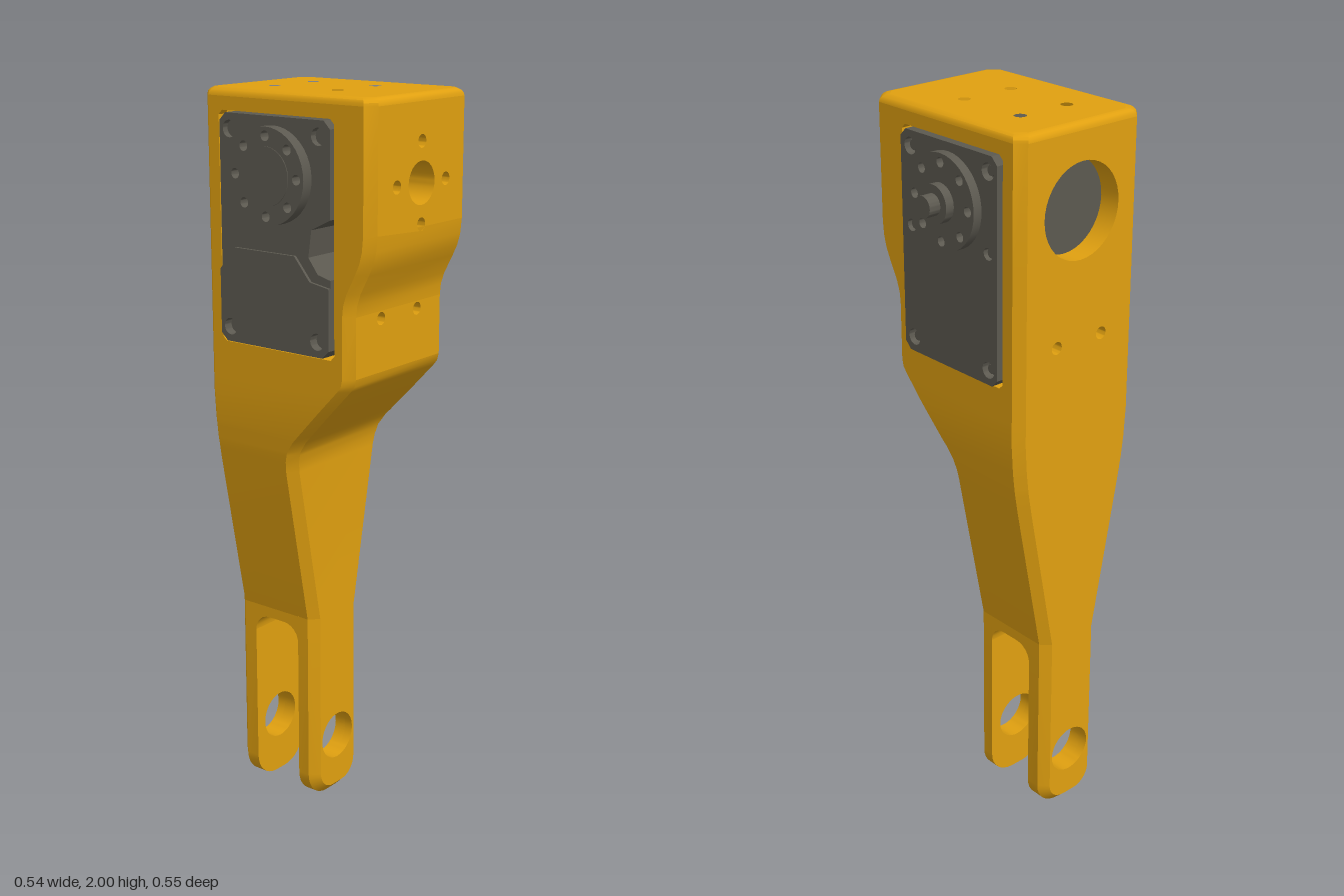
import * as THREE from 'three';
import { toCreasedNormals, mergeGeometries } from 'three/addons/utils/BufferGeometryUtils.js';

const yellow = new THREE.MeshStandardMaterial({ color: 0xe0a010 });
const dark = new THREE.MeshStandardMaterial({ color: 0x5c5950 });
const C = 0.025, BACK = -0.275, TOP = 1.98, R = 0.02;

// piecewise-linear profiles over height: half width and front depth
const WIDTH = [[0.56, 0.1], [1.0, 0.183], [1.06, 0.193], [1.12, 0.2], [1.2, 0.205], [2, 0.205]];
const FRONT = [[0.56, 0.005], [1.01, 0.005], [1.04, 0.008], [1.07, 0.017], [1.1, 0.038], [1.265, 0.193],
  [1.28, 0.205], [1.3, 0.21], [1.46, 0.21], [1.49, 0.213], [1.52, 0.223], [1.57, 0.249], [1.6, 0.263],
  [1.63, 0.271], [1.67, 0.275], [2, 0.275]];
function at(table, y) {
  const i = Math.max(1, table.findIndex(p => p[0] >= y));
  const [a, b] = [table[i - 1], table[i]];
  return a[1] + (b[1] - a[1]) * (y - a[0]) / (b[0] - a[0]);
}

// chamfered rectangle cross-section as [x, z] pairs
function ring(y, inset = 0) {
  const w = at(WIDTH, y) - inset, f = at(FRONT, y) - inset, b = BACK + inset;
  return [[-w + C, f], [w - C, f], [w, f - C], [w, b + C], [w - C, b], [-w + C, b], [-w, b + C], [-w, f - C]];
}

// skin between rows of points, leaving out the strips that skip() names
function loft(rows, closed, skip = () => false) {
  const pos = [];
  for (let r = 0; r + 1 < rows.length; r++) {
    const n = rows[r].length;
    for (let i = 0; i < (closed ? n : n - 1); i++) {
      if (skip(i, (rows[r][i][1] + rows[r + 1][i][1]) / 2)) continue;
      const j = (i + 1) % n, a = rows[r][i], b = rows[r][j], c = rows[r + 1][j], d = rows[r + 1][i];
      pos.push(...a, ...b, ...c, ...a, ...c, ...d);
    }
  }
  return new THREE.BufferGeometry().setAttribute('position', new THREE.Float32BufferAttribute(pos, 3));
}

// plate from d0 to d1 along an axis; outlines are (x,y), (-z,y) or (x,-z); holes are [u, v, radius]
function plate(points, d0, d1, axis = 'z', holes = [], rects = []) {
  const shape = new THREE.Shape(points.map(p => new THREE.Vector2(...p)));
  for (const [u, v, r] of holes) shape.holes.push(new THREE.Path().absarc(u, v, r, 0, Math.PI * 2, true));
  for (const r of rects) shape.holes.push(new THREE.Path(r.map(p => new THREE.Vector2(...p))));
  const g = new THREE.ExtrudeGeometry(shape, { depth: d1 - d0, bevelEnabled: false, curveSegments: 20 });
  g.translate(0, 0, d0);
  if (axis === 'x') g.rotateY(Math.PI / 2);
  if (axis === 'y') g.rotateX(-Math.PI / 2);
  g.deleteAttribute('uv');
  g.deleteAttribute('normal');
  return g;
}
const rect = (u0, v0, u1, v1, c = 0) => c
  ? [[u0 + c, v0], [u1 - c, v0], [u1, v0 + c], [u1, v1 - c], [u1 - c, v1], [u0 + c, v1], [u0, v1 - c], [u0, v0 + c]]
  : [[u0, v0], [u1, v0], [u1, v1], [u0, v1]];

function add(parent, name, geos, material) {
  const g = mergeGeometries(geos.map(q => {
    const n = q.index ? q.toNonIndexed() : q;
    n.deleteAttribute('uv');
    n.deleteAttribute('normal');
    return n;
  }));
  const mesh = new THREE.Mesh(toCreasedNormals(g, 0.45), material);
  mesh.name = name;
  parent.add(mesh);
  return mesh;
}

function buildHousing(group) {
  // outer skin
  const ys = [...new Set([...WIDTH, ...FRONT].map(p => p[0]).concat(TOP))].filter(y => y <= TOP).sort((a, b) => a - b);
  const rows = ys.map(y => ring(y).map(([x, z]) => [x, y, z]));
  for (let k = 1; k <= 4; k++) {
    const t = k / 4 * Math.PI / 2, y = TOP + R * Math.sin(t);
    rows.push(ring(TOP, R * (1 - Math.cos(t))).map(([x, z]) => [x, y, z]));
  }
  const skip = (i, y) => y > 1.3 && y < TOP &&
    ((i === 0 && (y < 1.46 || y > 1.67)) || i === 2 || i === 4 || i === 6);
  add(group, 'housingSkin', [loft(rows, true, skip)], yellow);

  // front, back and top panels with their bores
  const pins = [[0.077, 1.44, 0.017], [-0.077, 1.44, 0.017]];
  const bores = [[0, 1.78, 0.055]];
  for (let k = 0; k < 4; k++) {
    const a = k * Math.PI / 2;
    bores.push([0.103 * Math.cos(a), 1.78 + 0.103 * Math.sin(a), 0.017]);
  }
  add(group, 'frontPanel', [
    plate(rect(-0.18, 1.67, 0.18, TOP), 0.16, 0.275, 'z', bores),
    plate(rect(-0.18, 1.46, 0.18, 1.67), 0.16, 0.2),
    plate(rect(-0.18, 1.3, 0.18, 1.46), 0.16, 0.21, 'z', pins)], yellow);
  add(group, 'backPanel', [plate(rect(-0.18, 1.3, 0.18, TOP), BACK, -0.215, 'z', [[0, 1.78, 0.125], ...pins])], yellow);
  const topHoles = [];
  for (const x of [-0.077, 0.077]) for (const z of [-0.135, 0.07]) topHoles.push([x, -z, 0.016]);
  add(group, 'topPanel', [plate(ring(TOP, R).map(([x, z]) => [x, -z]).reverse(), 1.945, 2, 'y', topHoles)], yellow);
  add(group, 'pocketFloor', [plate(rect(-0.18, -0.17, 0.18, 0.22), 1.3, 1.345, 'y')], yellow);

  // side walls with the motor opening
  const side = ys.filter(y => y >= 1.3).map(y => [-(at(FRONT, y) - C), y]).reverse();
  side.push([-BACK - C, 1.3], [-BACK - C, TOP]);
  const opening = rect(-0.16, 1.345, 0.215, 1.945, 0.012);
  add(group, 'sideWalls', [plate(side, 0.18, 0.205, 'x', [], [opening]),
    plate(side, -0.205, -0.18, 'x', [], [opening])], yellow);
}

function buildFork(group) {
  // prong outline with rounded lower corners
  const outline = inset => {
    const h = 0.1 - inset, r = 0.08, pts = [[-h, 0.56]];
    for (const [cx, a0] of [[-0.02, Math.PI], [0.02, Math.PI * 1.5]])
      for (let k = 0; k <= 8; k++) {
        const a = a0 + k / 8 * Math.PI / 2;
        pts.push([cx + (r - inset) * Math.cos(a), r + (r - inset) * Math.sin(a)]);
      }
    return [...pts, [h, 0.56]];
  };
  const hole = [[0, 0.175, 0.068]];
  const prong = (name, t) => add(group, name, [
    plate(outline(0), 0, t - C, 'z', hole),
    plate(outline(C), 0.015, t, 'z', hole),
    loft([outline(0).map(p => [...p, t - C]), outline(C).map(p => [...p, t])], false)], yellow);
  prong('frontProng', 0.06).position.z = -0.055;
  const back = prong('backProng', 0.065);
  back.rotation.y = Math.PI;
  back.position.z = -0.21;

  // filleted top of the slot
  const arch = [[0.21, 0.56], [0.055, 0.56], [0.055, 0.48]];
  for (let k = 0; k <= 6; k++) arch.push([0.105 - 0.05 * Math.cos(k * Math.PI / 12), 0.48 + 0.05 * Math.sin(k * Math.PI / 12)]);
  for (let k = 6; k >= 0; k--) arch.push([0.16 + 0.05 * Math.cos(k * Math.PI / 12), 0.48 + 0.05 * Math.sin(k * Math.PI / 12)]);
  add(group, 'slotTop', [plate(arch, -0.1, 0.1, 'x')], yellow);
}

function buildMotor(group) {
  const CY = 1.795, CU = 0.031;
  const disc = (r, d0, d1, holes = []) => {
    const pts = Array.from({ length: 40 }, (_, k) => [CU + r * Math.cos(k * Math.PI / 20), CY + r * Math.sin(k * Math.PI / 20)]);
    return plate(pts, d0, d1, 'x', holes);
  };
  const stud = (u, v, r, d0, d1) => new THREE.CylinderGeometry(r, r, d1 - d0, 12)
    .rotateZ(Math.PI / 2).translate((d0 + d1) / 2, v, -u);

  // case: the left half has a notch in its front edge
  const full = rect(-0.15, 1.35, 0.21, 1.94, 0.02);
  const notched = [...full.slice(0, 7), [-0.15, 1.7], [-0.09, 1.67], [-0.08, 1.6], [-0.11, 1.56], [-0.15, 1.55], full[7]];
  add(group, 'motorCase', [plate(full, -0.08, 0.195, 'x'), plate(notched, -0.19, -0.08, 'x')], dark);

  // cover plates with sunk screws
  const screws = [];
  for (const u of [-0.113, 0.177]) for (const v of [1.39, 1.695, 1.9]) screws.push([u, v]);
  const holes = screws.map(([u, v]) => [u, v, v === 1.695 ? 0.016 : 0.022]);
  const heads = screws.map(([u, v]) => stud(u, v, 0.013, 0.19, 0.208));
  add(group, 'rightCover', [plate(full, 0.195, 0.218, 'x', holes), ...heads], dark);
  const corners = holes.filter(h => h[1] !== 1.695);
  add(group, 'leftCover', [plate(notched, -0.208, -0.19, 'x', corners)], dark);
  const raised = [[-0.13, 1.35], [0.19, 1.35], [0.21, 1.37], [0.21, 1.54], [0.16, 1.6], [-0.04, 1.6], [-0.09, 1.54], [-0.15, 1.53], [-0.15, 1.37]];
  add(group, 'leftLowerCover', [plate(raised, -0.216, -0.208, 'x', corners.filter(h => h[1] < 1.5))], dark);

  // output horns and shaft
  const ringHoles = Array.from({ length: 8 }, (_, k) =>
    [CU + 0.1 * Math.cos(k * Math.PI / 4), CY + 0.1 * Math.sin(k * Math.PI / 4), 0.013]);
  add(group, 'rightHorn', [disc(0.123, 0.218, 0.243, ringHoles), disc(0.05, 0.243, 0.267), disc(0.028, 0.267, 0.3)], dark);
  add(group, 'leftHorn', [disc(0.123, -0.24, -0.208, ringHoles), disc(0.075, -0.242, -0.24)], dark);
}

export function createModel() {
  const group = new THREE.Group();
  group.name = 'motorizedLimb';
  for (const [name, build] of [['housing', buildHousing], ['fork', buildFork], ['motor', buildMotor]]) {
    const part = new THREE.Group();
    part.name = name;
    part.position.x = -0.03;
    build(part);
    group.add(part);
  }
  return group;
}
